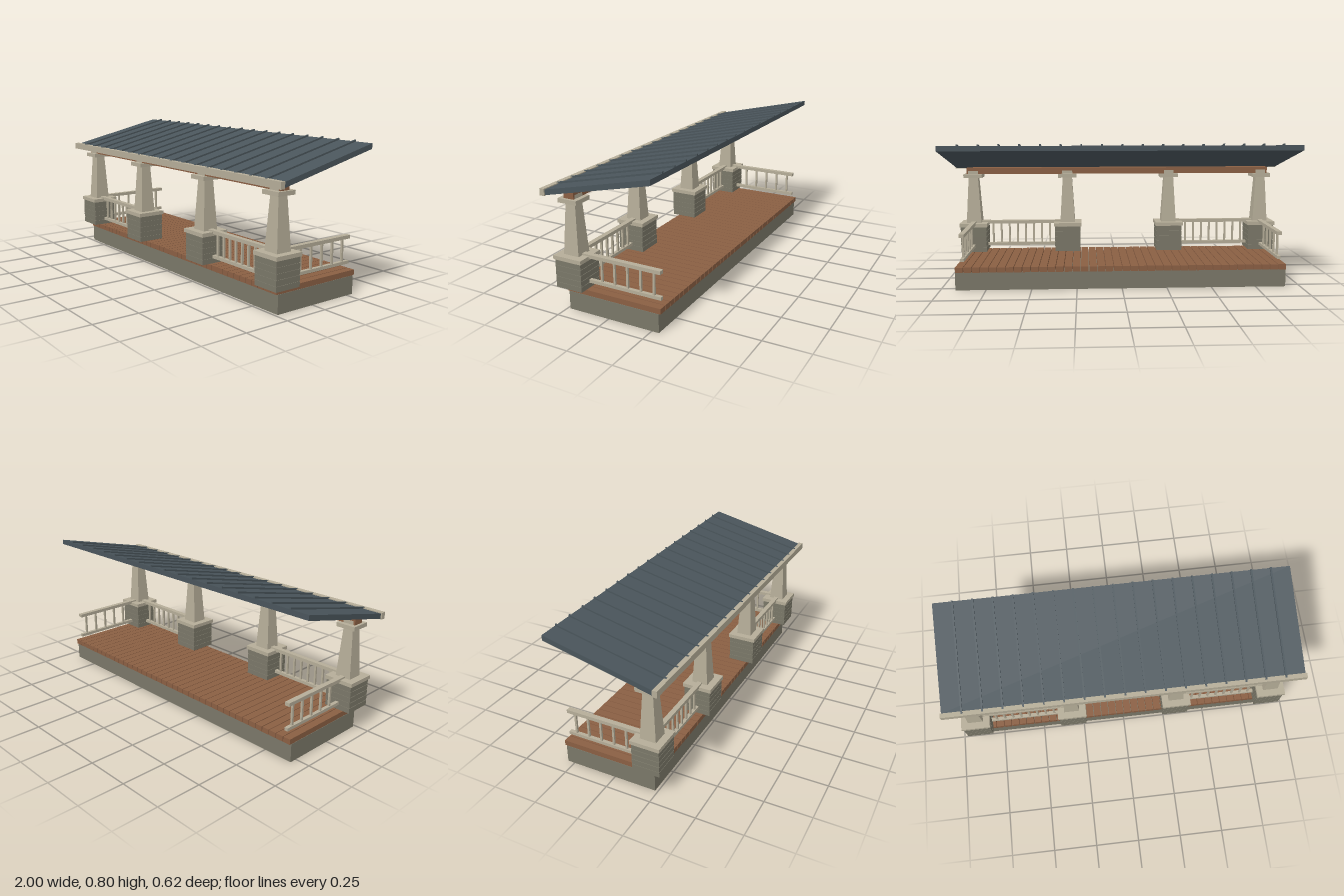
import * as THREE from 'three';

const material = (name, color) => {
  const m = new THREE.MeshStandardMaterial({ color });
  m.name = name;
  return m;
};

export function createModel() {
  const trim = material('cream trim', 0xb5ad98);
  const stone = material('grey stone', 0x7a7768);
  const wood = material('brown wood', 0x8a5f43);
  const metal = material('slate roof metal', 0x4a555b);

  const porch = new THREE.Group();
  porch.name = 'porch';

  const group = (name, parent = porch) => {
    const g = new THREE.Group();
    g.name = name;
    parent.add(g);
    return g;
  };
  const add = (parent, name, geometry, mat) => {
    const mesh = new THREE.Mesh(geometry, mat);
    mesh.name = name;
    parent.add(mesh);
    return mesh;
  };
  // Box given by its lower and upper limits on each axis
  const span = (x0, x1, y0, y1, z0, z1) =>
    new THREE.BoxGeometry(x1 - x0, y1 - y0, z1 - z0)
      .translate((x0 + x1) / 2, (y0 + y1) / 2, (z0 + z1) / 2);
  // Square block centred on x and z
  const block = (x, z, width, y0, y1) =>
    span(x - width / 2, x + width / 2, y0, y1, z - width / 2, z + width / 2);

  // Foundation and deck boards running front to back
  const halfLength = 0.917;
  add(porch, 'foundation', span(-halfLength, halfLength, 0, 0.1, -0.29, 0.235), stone);
  const deck = group('deck');
  const boards = 40;
  const pitch = (2 * halfLength) / boards;
  for (let i = 0; i < boards; i++) {
    const x = -halfLength + i * pitch;
    add(deck, 'deckBoard', span(x + 0.002, x + pitch - 0.002, 0.1, 0.129, -0.3, 0.243), wood);
  }

  // Stone piers with tapered columns
  const frontZ = 0.206;
  const outerX = 0.877;
  const innerX = 0.31;
  for (const x of [-outerX, -innerX, innerX, outerX]) {
    const post = group('post');
    add(post, 'pierCore', block(x, frontZ, 0.147, 0.129, 0.282), stone);
    const course = 0.153 / 5;
    for (let i = 0; i < 5; i++) {
      const y = 0.129 + i * course;
      add(post, 'stoneCourse', block(x, frontZ, 0.153, y, y + course - 0.003), stone);
    }
    add(post, 'pierCap', block(x, frontZ, 0.166, 0.281, 0.302), trim);

    const height = 0.275;
    const shaft = new THREE.BoxGeometry(0.089, height, 0.089);
    const p = shaft.attributes.position;
    for (let i = 0; i < p.count; i++) {
      if (p.getY(i) > 0) p.setXYZ(i, p.getX(i) * 0.63, p.getY(i), p.getZ(i) * 0.63);
    }
    shaft.computeVertexNormals();
    shaft.translate(x, 0.302 + height / 2, frontZ);
    add(post, 'taperedColumn', shaft, trim);
    add(post, 'capital', block(x, frontZ, 0.11, 0.576, 0.598), trim);
    add(post, 'beamSeat', block(x, frontZ, 0.061, 0.598, 0.618), trim);
  }
  add(porch, 'beam', span(-halfLength, halfLength, 0.598, 0.635, 0.176, 0.235), wood);

  // Front railings between the outer and inner posts, side railings to the back
  const bar = 0.0055;
  for (const side of [-1, 1]) {
    const front = group('frontRailing');
    const mid = (side * (outerX + innerX)) / 2;
    add(front, 'topRail', span(mid - 0.25, mid + 0.25, 0.292, 0.311, frontZ - 0.014, frontZ + 0.014), trim);
    add(front, 'bottomRail', span(mid - 0.21, mid + 0.21, 0.157, 0.174, frontZ - 0.01, frontZ + 0.01), trim);
    for (let i = 0; i < 8; i++) {
      const x = mid + (i - 3.5) * 0.0495;
      add(front, 'baluster', block(x, frontZ, bar * 2, 0.174, 0.292), trim);
    }

    const end = group('sideRailing');
    const x = side * outerX;
    add(end, 'topRail', span(x - 0.014, x + 0.014, 0.292, 0.311, -0.287, 0.17), trim);
    add(end, 'bottomRail', span(x - 0.01, x + 0.01, 0.157, 0.174, -0.287, 0.135), trim);
    for (let i = 0; i < 5; i++) {
      add(end, 'baluster', block(x, 0.056 - i * 0.075, bar * 2, 0.174, 0.292), trim);
    }
  }

  // Sloping roof: level boxes sheared so they rise towards the back
  const slope = new THREE.Matrix4().set(
    1, 0, 0, 0,
    0, 1, -0.231, 0,
    0, 0, 1, 0,
    0, 0, 0, 1);
  const roof = group('roof');
  add(roof, 'roofPanel', span(-0.993, 0.993, 0.6925, 0.7205, -0.305, 0.284).applyMatrix4(slope), metal);
  for (let i = -8; i <= 8; i++) {
    const x = i * 0.1104;
    add(roof, 'standingSeam',
      span(x - 0.005, x + 0.005, 0.72, 0.7295, -0.305, 0.298).applyMatrix4(slope), metal);
  }
  add(roof, 'fascia', span(-1, 1, 0.624, 0.66, 0.284, 0.31), trim);

  return porch;
}
